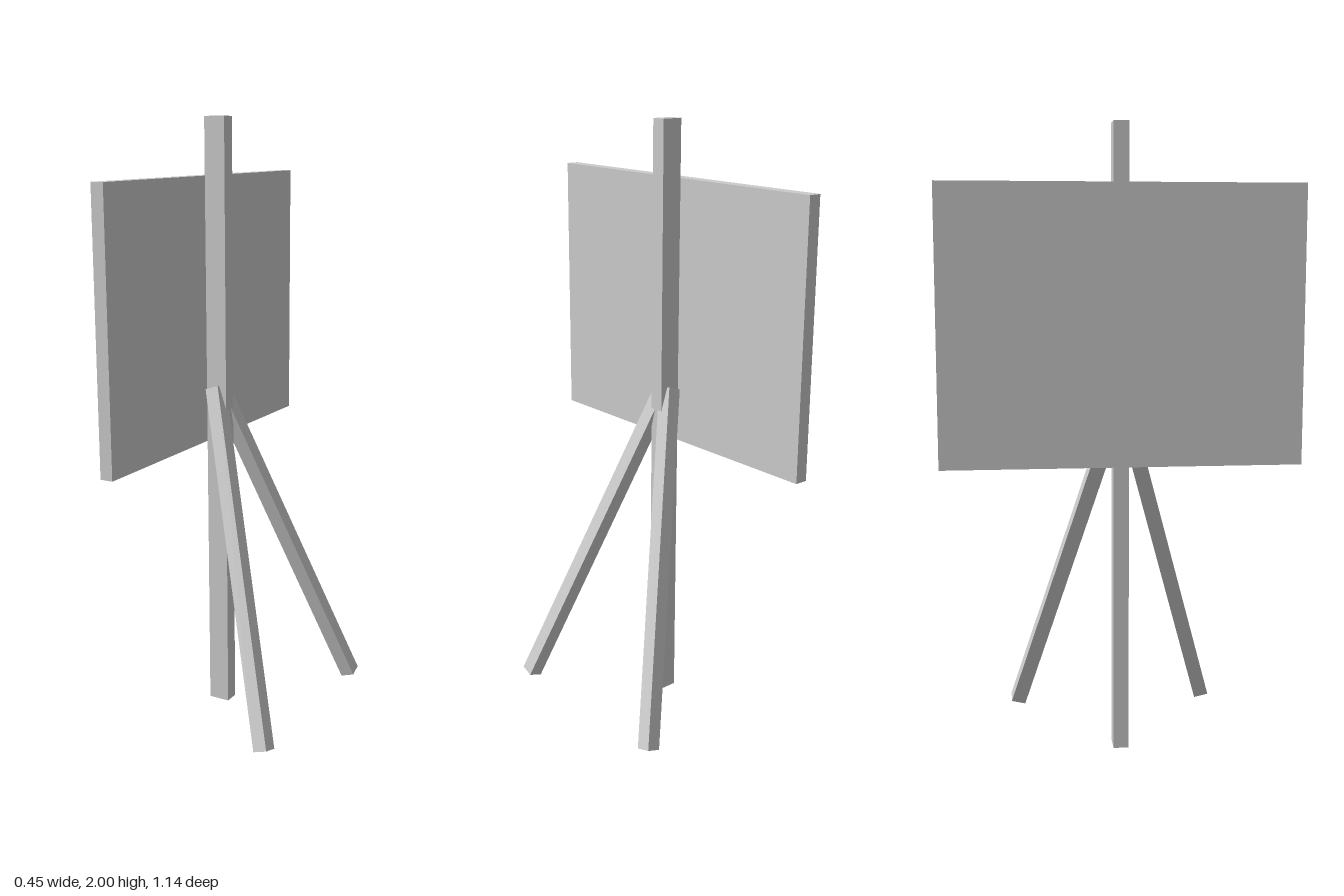
import * as THREE from 'three';

export function createModel() {
  const model = new THREE.Group();
  model.name = 'signStand';
  const material = new THREE.MeshStandardMaterial({ color: 0xcccccc, flatShading: true });

  function addBox(name, size, position) {
    const mesh = new THREE.Mesh(new THREE.BoxGeometry(...size), material);
    mesh.name = name;
    mesh.position.set(...position);
    model.add(mesh);
    return mesh;
  }

  // upright post and the board fixed to its -x side
  addBox('post', [0.073, 2, 0.049], [-0.146, 1, 0]);
  addBox('board', [0.043, 0.875, 1.14], [-0.2045, 1.378, 0]);

  // two splayed support legs, mirrored across z
  for (const side of [1, -1]) {
    const leg = addBox(side > 0 ? 'frontLeg' : 'backLeg', [0.049, 1.185, 0.049], [0.0215, 0.58, 0.169 * side]);
    leg.rotation.set(-0.27 * side, 0, 0.318, 'ZXY');
  }

  return model;
}
